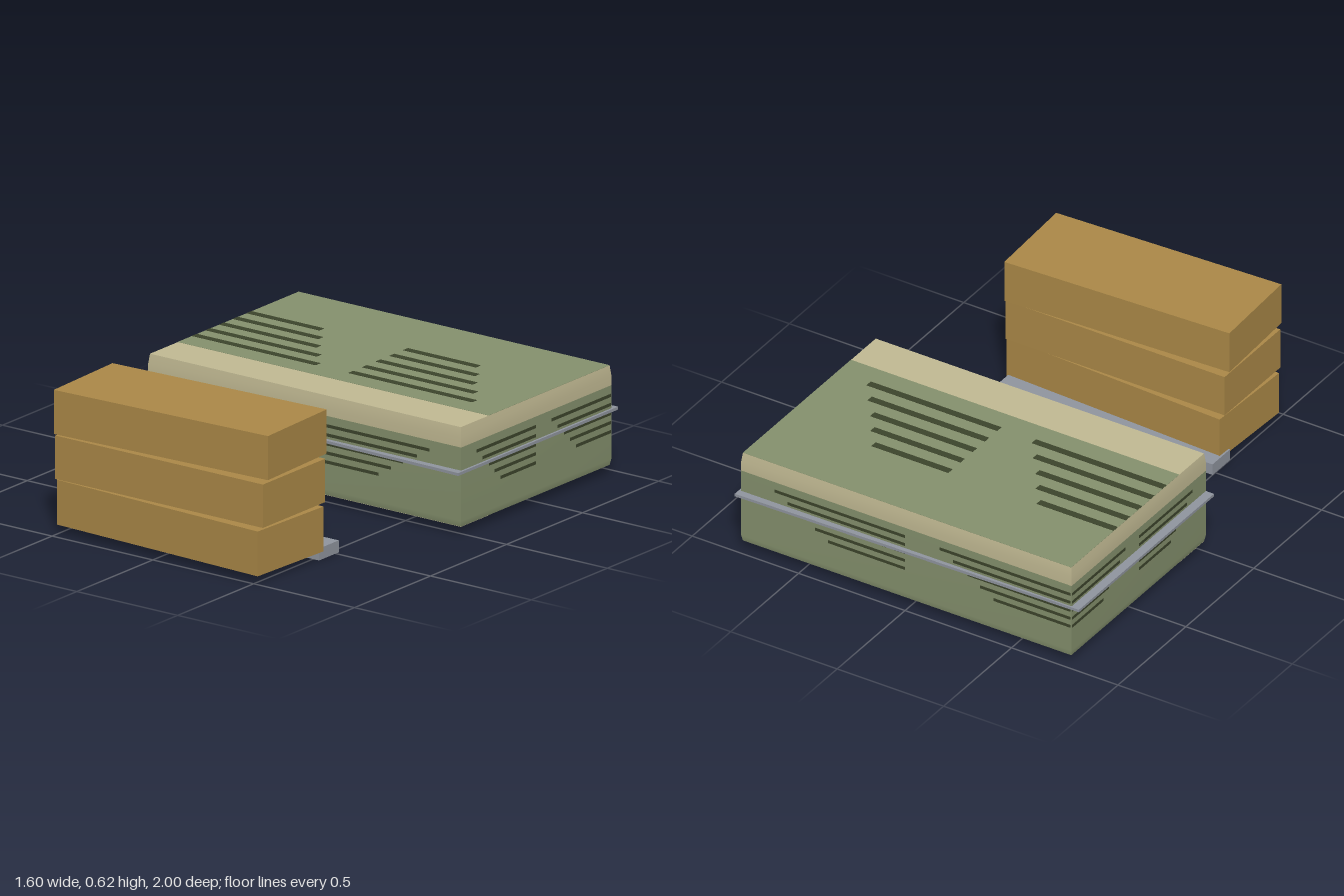
import * as THREE from 'three';

const mat = (name, color) => {
  const m = new THREE.MeshStandardMaterial({ color });
  m.name = name;
  return m;
};

export function createModel() {
  const brown = mat('cardboard brown', 0xad8a48);
  const green = mat('olive green', 0x86926e);
  const cream = mat('cream', 0xc3bb94);
  const dark = mat('dark olive', 0x3d452c);
  const grey = mat('steel grey', 0x9196a0);

  const model = new THREE.Group();
  const add = (parent, name, geometry, material, x = 0, y = 0, z = 0) => {
    const mesh = new THREE.Mesh(geometry, material);
    mesh.name = name;
    mesh.position.set(x, y, z);
    parent.add(mesh);
    return mesh;
  };
  const box = (parent, name, material, x0, x1, y0, y1, z0, z1) =>
    add(parent, name, new THREE.BoxGeometry(x1 - x0, y1 - y0, z1 - z0), material,
      (x0 + x1) / 2, (y0 + y1) / 2, (z0 + z1) / 2);

  // Large crate
  const X0 = -0.762, X1 = 0.79, Y0 = 0.035, Y1 = 0.45, Z0 = -0.968, Z1 = 0.02;
  const W = X1 - X0, H = Y1 - Y0, D = Z1 - Z0;
  const crate = new THREE.Group();
  crate.name = 'crate';
  model.add(crate);

  // Stacked rectangular sections: [height, inset]
  const shell = (name, material, levels) => {
    const n = levels.length - 1;
    const g = new THREE.BoxGeometry(W, 1, D, 1, n, 1);
    const p = g.attributes.position;
    for (let i = 0; i < p.count; i++) {
      const [y, inset] = levels[Math.round((p.getY(i) + 0.5) * n)];
      p.setXYZ(i, p.getX(i) - Math.sign(p.getX(i)) * inset, y,
        p.getZ(i) - Math.sign(p.getZ(i)) * inset);
    }
    g.computeVertexNormals();
    add(crate, name, g, material, (X0 + X1) / 2, 0, (Z0 + Z1) / 2);
  };
  shell('crateBody', green, [[Y0, 0.005], [0.06, 0], [0.367, 0]]);
  shell('crateUpperBand', cream, [[0.367, 0], [0.41, 0], [Y1, 0.005]]);
  box(crate, 'topPanel', green, X0 + 0.005, X1 - 0.005, Y1 - 0.002, Y1 + 0.001, Z0 + 0.005, -0.168);
  box(crate, 'bottomStrip', cream, X0 + 0.005, X1 - 0.005, Y0 - 0.001, Y0 + 0.002, -0.168, Z1 - 0.005);

  // Painted bars, two groups of five on every face
  const t = 0.0015;
  const lengths = [0.465, 0.545, 0.62, 0.71, 0.79];
  lengths.forEach((length, row) => {
    const v = 0.337 + row * 0.091;
    const y = Y0 + v * H, z = Z0 + v * D;
    const hy = 0.0065, hz = 0.0155;
    for (const half of [0, 0.5]) {
      const xa = X0 + 0.006 + half * W, xb = X0 + (half + length / 2) * W + 0.006;
      const za = Z0 + 0.004 + half * D, zb = Z0 + (half + length / 2) * D + 0.004;
      box(crate, 'topBar', dark, xa, xb, Y1, Y1 + 0.001 + t, z - hz, z + hz);
      box(crate, 'bottomBar', dark, xa, xb, Y0 - t, Y0 + t, z - hz, z + hz);
      box(crate, 'frontBar', dark, xa, xb, y - hy, y + hy, Z1 - t, Z1 + t);
      box(crate, 'backBar', dark, xa, xb, y - hy, y + hy, Z0 - t, Z0 + t);
      box(crate, 'leftBar', dark, X1 - t, X1 + t, y - hy, y + hy, za, zb);
      box(crate, 'rightBar', dark, X0 - t, X0 + t, y - hy, y + hy, za, zb);
    }
  });

  // Thin uneven flange around the crate
  const outline = new THREE.Shape([[-0.8, -0.02], [0.8, -0.052], [0.8, 1], [-0.8, 0.974]]
    .map(([x, y]) => new THREE.Vector2(x, y)));
  const flange = new THREE.ExtrudeGeometry(outline, { depth: 0.012, bevelEnabled: false });
  flange.rotateX(-Math.PI / 2);
  add(crate, 'flange', flange, grey, 0, 0.259, 0);

  // Stack of three slightly turned boxes, each with a faintly crowned lid
  const stack = new THREE.Group();
  stack.name = 'boxStack';
  model.add(stack);
  [[0.035, 0.222, -0.043], [0.233, 0.414, 0], [0.428, 0.612, 0.043]].forEach(([y0, y1, turn]) => {
    const g = new THREE.BoxGeometry(1.03, y1 - y0, 0.41, 4, 1, 4);
    const p = g.attributes.position;
    for (let i = 0; i < p.count; i++) {
      if (p.getY(i) > 0 && Math.abs(p.getX(i)) < 0.3 && Math.abs(p.getZ(i)) < 0.12) {
        p.setY(i, p.getY(i) + 0.004);
      }
    }
    add(stack, 'stackedBox', g, brown, 0.015, (y0 + y1) / 2, 0.774).rotation.y = turn;
  });

  // Ground rail behind the stack
  box(model, 'groundRail', grey, -0.5, 0.53, 0, 0.05, 0.48, 0.61);

  return model;
}
